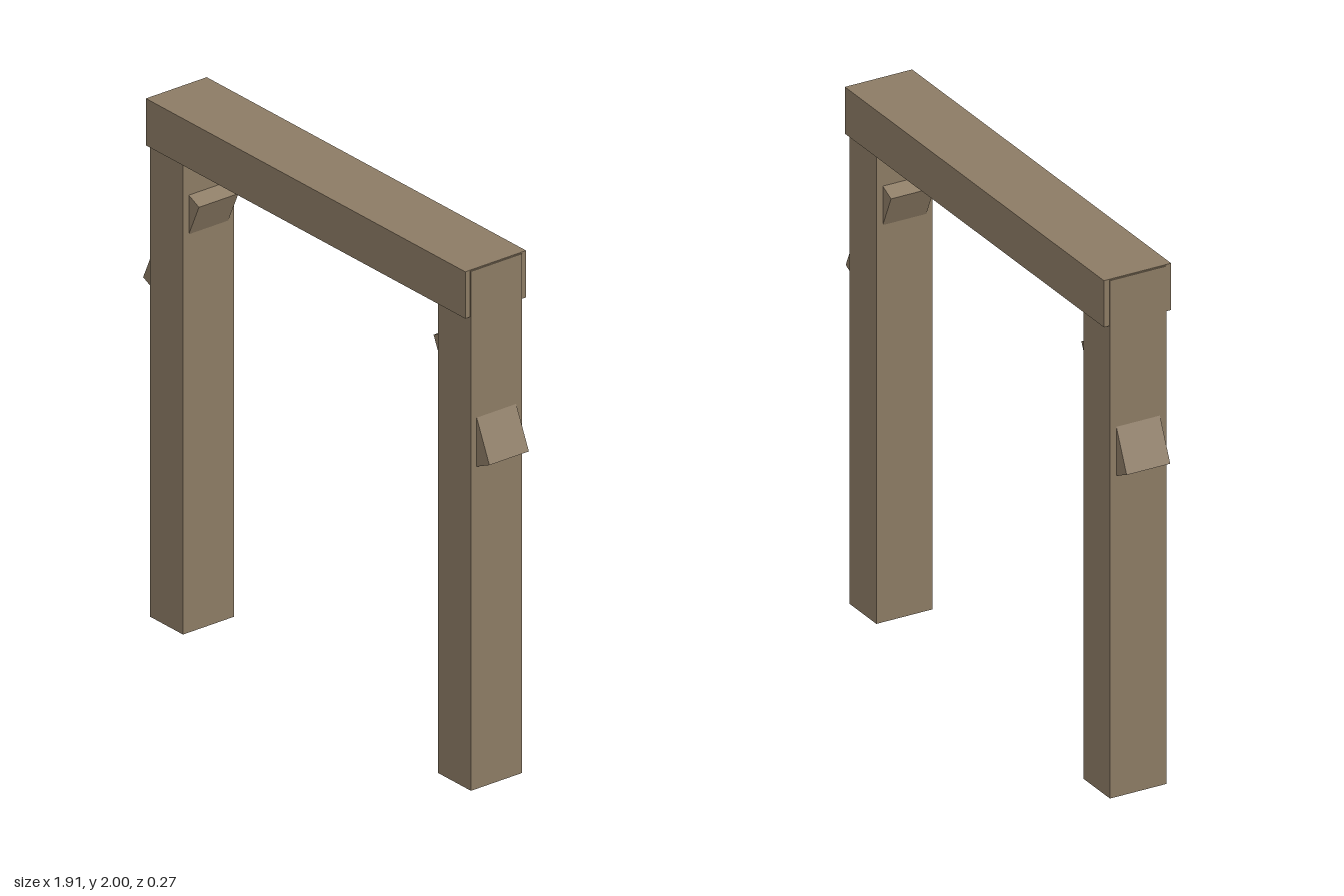
import * as THREE from 'three';

export function createModel() {
  const model = new THREE.Group();
  model.name = 'timberFrame';
  const wood = new THREE.MeshStandardMaterial({ color: 0x8c7b64 });
  wood.name = 'weathered wood';

  const addTimber = (name, size, position, tilt = 0) => {
    const mesh = new THREE.Mesh(new THREE.BoxGeometry(...size), wood);
    mesh.name = name;
    mesh.position.set(...position);
    mesh.rotation.z = tilt;
    model.add(mesh);
  };

  // Lintel across the top, slightly deeper than the posts
  addTimber('topBeam', [1.766, 0.18, 0.27], [0, 1.91, 0]);

  // Upright posts, each pierced by a slanted peg
  for (const [side, s] of [['left', 1], ['right', -1]]) {
    addTimber(`${side}Post`, [0.182, 1.996, 0.226], [s * 0.796, 0.998, 0]);
    addTimber(`${side}Brace`, [0.123, 0.478, 0.175], [s * 0.803, 1.463, 0], s * 0.424);
  }
  return model;
}
